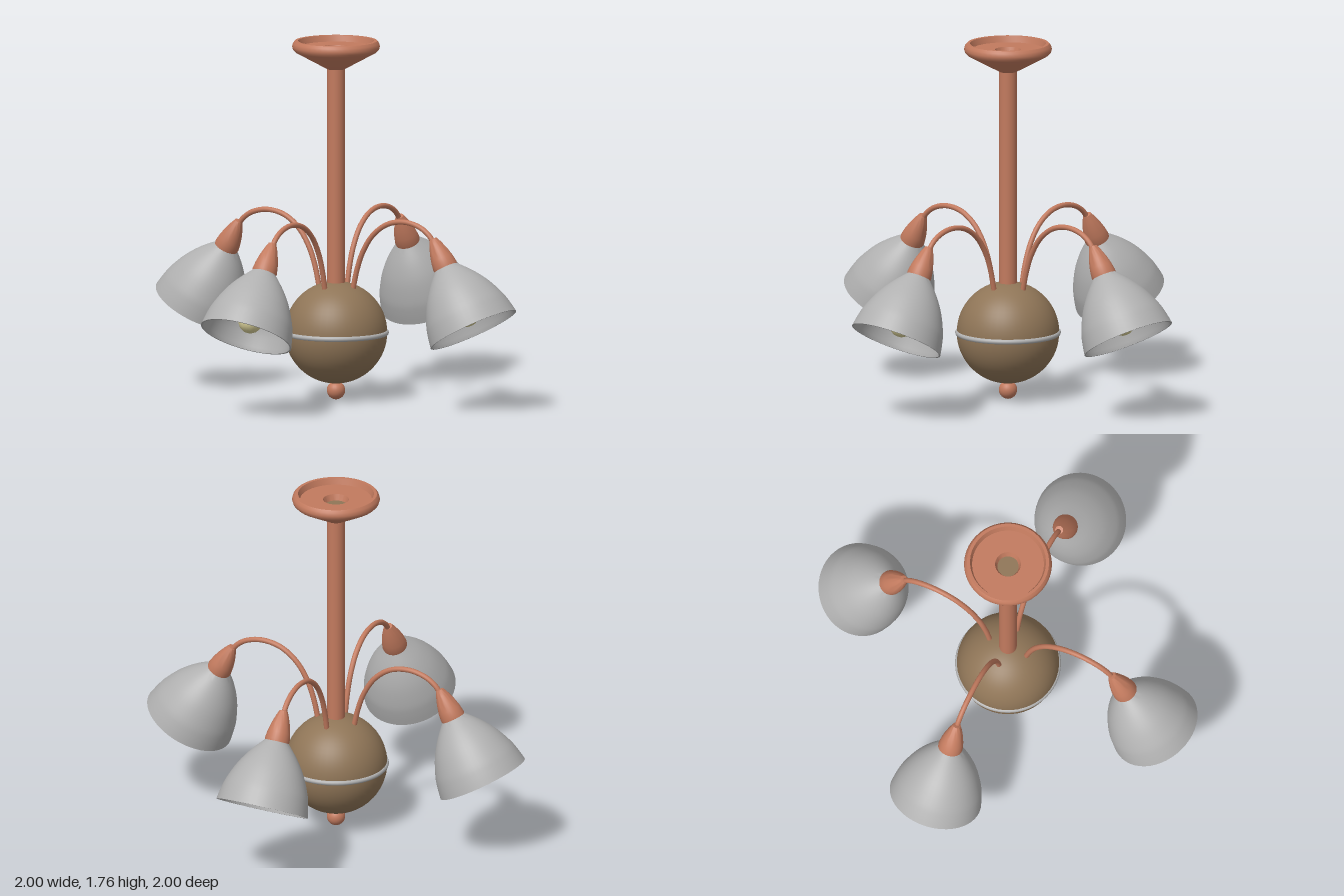
import * as THREE from 'three';
import { toCreasedNormals } from 'three/addons/utils/BufferGeometryUtils.js';

const material = (name, color) => {
  const m = new THREE.MeshStandardMaterial({ color });
  m.name = name;
  return m;
};

export function createModel() {
  const copper = material('copper', 0xc27a5e);
  const bronze = material('bronze', 0x8f7557);
  const grey = material('grey', 0xb0b0b0);
  const cream = material('cream', 0xd8cf98);

  const add = (parent, name, geometry, mat, x = 0, y = 0, z = 0) => {
    const mesh = new THREE.Mesh(geometry, mat);
    mesh.name = name;
    mesh.position.set(x, y, z);
    parent.add(mesh);
    return mesh;
  };
  const lathe = (points, segments = 48) => toCreasedNormals(
    new THREE.LatheGeometry(points.map(([r, y]) => new THREE.Vector2(r, y)), segments), 0.6);

  const model = new THREE.Group();
  model.name = 'chandelier';

  // Ceiling canopy with a recessed top, and its central hole
  add(model, 'canopy', lathe([
    [0.042, 1.625], [0.198, 1.71], [0.21, 1.722], [0.214, 1.737], [0.21, 1.753], [0.2, 1.765],
    [0.185, 1.765], [0.175, 1.735], [0.063, 1.735], [0.05, 1.7],
  ]), copper);
  add(model, 'canopyHole', new THREE.CircleGeometry(0.054, 32).rotateX(-Math.PI / 2), bronze, 0, 1.705);

  // Stem, globe body, band and bottom knob
  add(model, 'stem', new THREE.CylinderGeometry(0.043, 0.043, 1.12, 32), copper, 0, 1.1);
  add(model, 'globe', new THREE.SphereGeometry(0.25, 48, 32), bronze, 0, 0.33);
  const band = add(model, 'band', new THREE.TorusGeometry(0.245, 0.013, 12, 64), grey, 0, 0.33);
  band.rotation.x = Math.PI / 2;
  add(model, 'knob', new THREE.SphereGeometry(0.045, 24, 16), copper, 0, 0.045);

  // Shared arm and lamp geometry
  const armCurve = new THREE.CatmullRomCurve3([
    [0.095, 0.53], [0.12, 0.64], [0.155, 0.735], [0.215, 0.825], [0.3, 0.885],
    [0.4, 0.903], [0.49, 0.883], [0.545, 0.845], [0.575, 0.8],
  ].map(([x, y]) => new THREE.Vector3(x, y, 0)));
  const armGeometry = new THREE.TubeGeometry(armCurve, 48, 0.013, 12);

  const outer = new THREE.SplineCurve([
    [0.228, 0], [0.218, 0.055], [0.203, 0.11], [0.165, 0.195], [0.115, 0.27], [0.058, 0.335],
  ].map(([r, y]) => new THREE.Vector2(r, y))).getPoints(20).map((p) => [p.x, p.y]);
  const inner = outer.map(([r, y]) => [r - 0.008, Math.max(0, y - 0.004)]).reverse();
  const shadeGeometry = lathe([[0, 0.331], ...inner, ...outer]);

  const holderGeometry = lathe([
    [0, 0.322], [0.058, 0.322], [0.061, 0.345], [0.056, 0.38], [0.046, 0.42],
    [0.032, 0.46], [0.02, 0.488], [0, 0.492],
  ], 32);
  const socketGeometry = new THREE.CylinderGeometry(0.032, 0.032, 0.17, 24);
  const bulbGeometry = lathe([
    [0, 0.022], [0.022, 0.026], [0.041, 0.038], [0.054, 0.057], [0.058, 0.08],
    [0.055, 0.1], [0.045, 0.125], [0.034, 0.15], [0.028, 0.175],
  ], 32);

  // Four arms, each with a tilted lamp
  for (let i = 0; i < 4; i++) {
    const branch = new THREE.Group();
    branch.name = 'branch' + (i + 1);
    branch.rotation.y = i * Math.PI / 2;
    add(branch, 'arm', armGeometry, copper);

    const lamp = new THREE.Group();
    lamp.name = 'lamp';
    lamp.position.set(0.8, 0.405, 0);
    lamp.rotation.z = 0.503;
    add(lamp, 'shade', shadeGeometry, grey);
    add(lamp, 'holder', holderGeometry, copper);
    add(lamp, 'socket', socketGeometry, grey, 0, 0.245);
    add(lamp, 'bulb', bulbGeometry, cream);
    branch.add(lamp);
    model.add(branch);
  }
  return model;
}
